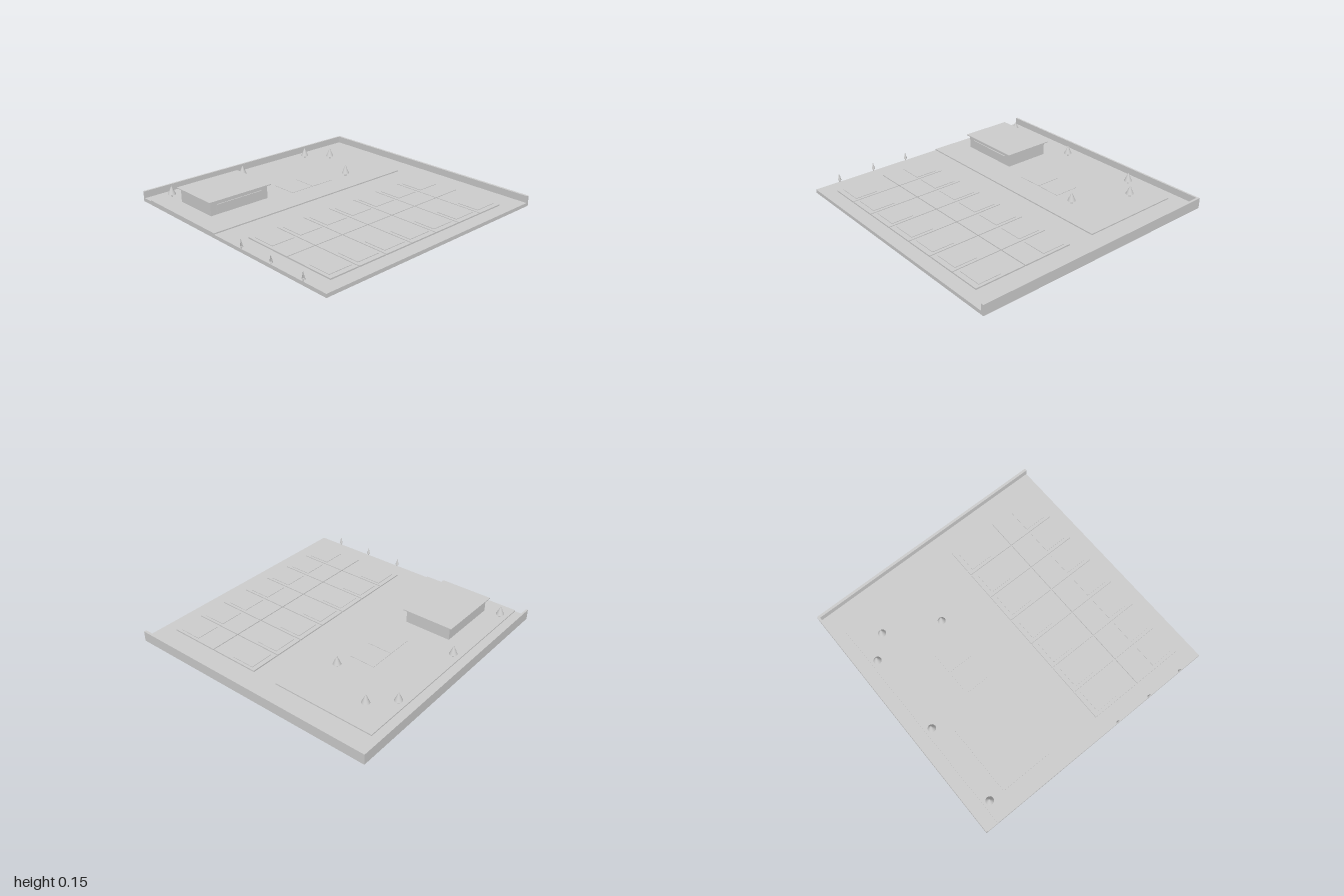
import * as THREE from 'three';

export function createModel() {
  const group = new THREE.Group();
  const grey = new THREE.MeshStandardMaterial({ color: 0xcccccc });
  grey.name = 'plain grey';
  grey.side = THREE.DoubleSide;

  const add = (name, geometry, parent = group) => {
    const mesh = new THREE.Mesh(geometry, grey);
    mesh.name = name;
    parent.add(mesh);
    return mesh;
  };
  // Box given by its extents on each axis
  const box = (name, x0, x1, y0, y1, z0, z1) =>
    add(name, new THREE.BoxGeometry(x1 - x0, y1 - y0, z1 - z0)
      .translate((x0 + x1) / 2, (y0 + y1) / 2, (z0 + z1) / 2));

  // Ground and the two boundary walls
  const ground = 0.027;
  const deck = 0.036;
  box('groundSlab', -1, 1, 0, ground, -1, 1);
  box('rightWall', 0.98, 1, ground, 0.08, -1, 1);
  box('backWall', -1, 0.98, ground, 0.08, -1, -0.985);

  // Raised lawn with a split court
  box('lawn', -1, 0.8, ground, deck, -0.9, -0.1);
  box('courtLeftHalf', -0.15, 0.048, deck, 0.039, -0.5, -0.3);
  box('courtRightHalf', 0.052, 0.25, deck, 0.039, -0.5, -0.3);

  // Pavilion
  box('pavilionBody', -0.85, -0.35, deck, 0.14, -0.72, -0.35);
  box('pavilionRoof', -0.87, -0.33, 0.14, 0.147, -0.743, -0.33);
  box('pavilionWindow', -0.8, -0.4, 0.05, 0.112, -0.35, -0.343);

  // Two rows of seven plots, each with a mirrored inner plate
  for (let i = 0; i < 7; i++) {
    const x = -0.87 + i * 0.239;
    box('backPlot', x, x + 0.232, ground, 0.037, 0.104, 0.495);
    box('backPlotPlate', x + 0.025, x + 0.21, 0.037, 0.041, 0.14, 0.32);
    box('frontPlot', x, x + 0.232, ground, 0.037, 0.502, 0.894);
    box('frontPlotPlate', x + 0.025, x + 0.21, 0.037, 0.041, 0.68, 0.855);
  }

  // Conifers
  for (const [x, z] of [[-0.85, -0.85], [-0.2, -0.85], [0.45, -0.85], [0.6, -0.7], [0.4, -0.3]]) {
    const tree = new THREE.Group();
    tree.name = 'tree';
    add('trunk', new THREE.CylinderGeometry(0.007, 0.007, 0.03, 8), tree).position.y = 0.043;
    add('foliage', new THREE.ConeGeometry(0.03, 0.068, 16), tree).position.y = 0.092;
    tree.position.set(x, 0, z);
    group.add(tree);
  }

  // Small half conifers cut off by the left edge
  for (const z of [0.2, 0.5, 0.8]) {
    const tree = new THREE.Group();
    tree.name = 'edgeTree';
    add('edgeTrunk', new THREE.CylinderGeometry(0.005, 0.005, 0.02, 6, 1, false, 0, Math.PI), tree).position.y = 0.037;
    add('edgeFoliage', new THREE.ConeGeometry(0.014, 0.055, 10, 1, false, 0, Math.PI), tree).position.y = 0.07;
    tree.position.set(-1, 0, z);
    group.add(tree);
  }

  return group;
}
